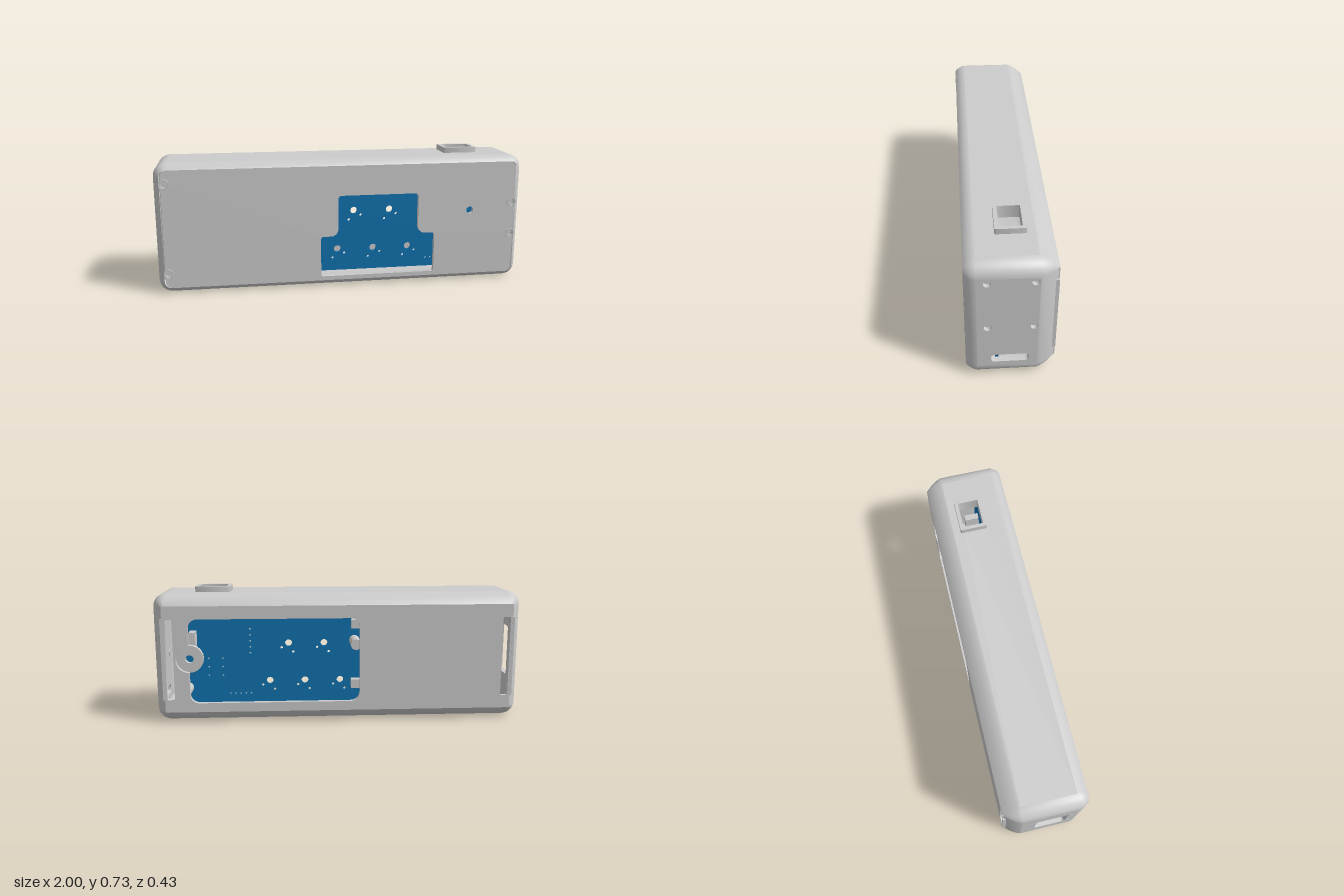
import * as THREE from 'three';
import { toCreasedNormals } from 'three/addons/utils/BufferGeometryUtils.js';

const grey = new THREE.MeshStandardMaterial({ color: 0xcccccc });
const greyShell = new THREE.MeshStandardMaterial({ color: 0xcccccc, side: THREE.DoubleSide });
const blue = new THREE.MeshStandardMaterial({ color: 0x0f72b0 });
const WALL = 0.03, CY = 0.35, BAND = [-0.125, 0.16];

// Rounded rectangle from corner to corner
function rect(x0, y0, x1, y1, r, Type = THREE.Path) {
  const p = new Type();
  const q = Math.PI / 2;
  p.moveTo(x0 + r, y0);
  p.lineTo(x1 - r, y0).absarc(x1 - r, y0 + r, r, -q, 0, false);
  p.lineTo(x1, y1 - r).absarc(x1 - r, y1 - r, r, 0, q, false);
  p.lineTo(x0 + r, y1).absarc(x0 + r, y1 - r, r, q, 2 * q, false);
  p.lineTo(x0, y0 + r).absarc(x0 + r, y0 + r, r, 2 * q, 3 * q, false);
  return p;
}

const circle = (x, y, r) => new THREE.Path().absarc(x, y, r, 0, Math.PI * 2, false);

function plate(name, shape, holes, depth, material = grey) {
  shape.holes.push(...holes);
  const geo = new THREE.ExtrudeGeometry(shape, { depth, bevelEnabled: false, curveSegments: 10 });
  const m = new THREE.Mesh(toCreasedNormals(geo, 0.6), material);
  m.name = name;
  return m;
}

// Skin of rounded-rectangle sections [z, inset]; the band is left open at the top and both ends
function skin(name, sections, seg = 8) {
  const pos = [], idx = [], n = 4 * (seg + 1);
  for (const [z, inset] of sections) {
    for (let k = 0; k < 4; k++) {
      const cx = k === 0 || k === 3 ? 0.93 : -0.93, cy = CY + (k < 2 ? 0.28 : -0.28);
      for (let j = 0; j <= seg; j++) {
        const a = (k + j / seg) * Math.PI / 2, r = Math.max(0.001, 0.07 - inset);
        pos.push(cx + r * Math.cos(a), cy + r * Math.sin(a), z);
      }
    }
  }
  const open = [seg, 2 * seg + 1, n - 1];
  for (let s = 0; s < sections.length - 1; s++) {
    for (let i = 0; i < n; i++) {
      if (sections[s][0] === BAND[0] && open.includes(i)) continue;
      const a = s * n + i, b = s * n + (i + 1) % n;
      idx.push(a, b, b + n, a, b + n, a + n);
    }
  }
  const geo = new THREE.BufferGeometry();
  geo.setAttribute('position', new THREE.Float32BufferAttribute(pos, 3));
  geo.setIndex(idx);
  const m = new THREE.Mesh(toCreasedNormals(geo, 0.6), greyShell);
  m.name = name;
  return m;
}

export function createModel() {
  const g = new THREE.Group();
  g.name = 'deviceHousing';
  const add = (m, x = 0, y = 0, z = 0) => { m.position.set(x, y, z); g.add(m); return m; };
  const box = (name, w, h, d, x, y, z, mat = grey) => {
    const m = new THREE.Mesh(new THREE.BoxGeometry(w, h, d), mat);
    m.name = name;
    return add(m, x, y, z);
  };
  const rod = (name, r, len, x, y, z, axis) => {
    const m = new THREE.Mesh(new THREE.CylinderGeometry(r, r, len, 24), grey);
    m.name = name;
    m.rotation[axis] = Math.PI / 2;
    return add(m, x, y, z);
  };

  // Outer and inner skins of the hollow case
  add(skin('outerShell', [[-0.215, 0.06], [-0.2, 0.046], [-0.18, 0.029], [-0.16, 0.016], [-0.143, 0.007],
    [BAND[0], 0], [BAND[1], 0], [0.175, 0.003], [0.19, 0.01], [0.203, 0.019], [0.215, 0.032]]));
  add(skin('innerShell', [[-0.19, 0.067], [-0.16, 0.046], [BAND[0], WALL], [BAND[1], WALL], [0.19, 0.04]]));

  // Front face with stepped cutout, indicator hole and screw holes
  const cut = new THREE.Path();
  const q = Math.PI / 2;
  cut.moveTo(-0.115, 0.055);
  cut.lineTo(0.49, 0.055).absarc(0.49, 0.07, 0.015, -q, 0, false);
  cut.lineTo(0.505, 0.265).absarc(0.49, 0.265, 0.015, 0, q, false);
  cut.lineTo(0.45, 0.28).absarc(0.45, 0.32, 0.04, -q, -2 * q, true);
  cut.lineTo(0.41, 0.485).absarc(0.39, 0.485, 0.02, 0, q, false);
  cut.lineTo(-0.015, 0.505).absarc(-0.015, 0.485, 0.02, q, 2 * q, false);
  cut.lineTo(-0.035, 0.32).absarc(-0.075, 0.32, 0.04, 0, -q, true);
  cut.lineTo(-0.115, 0.28).absarc(-0.115, 0.265, 0.015, q, 2 * q, false);
  cut.lineTo(-0.13, 0.07).absarc(-0.115, 0.07, 0.015, 2 * q, 3 * q, false);
  const screws = [[-0.945, 0.595], [-0.945, 0.11], [0.945, 0.44], [0.945, 0.26]];
  add(plate('frontFace', rect(-0.962, 0.032, 0.962, 0.668, 0.038, THREE.Shape),
    [cut, circle(0.705, 0.4, 0.02), ...screws.map(([x, y]) => circle(x, y, 0.022).closePath() && circle(x, y, 0.016))],
    0.025), 0, 0, 0.19);
  for (const [x, y] of screws) {
    rod('frontScrew', 0.022, 0.01, x, y, 0.195, 'x');
    const rim = new THREE.Mesh(new THREE.TorusGeometry(0.024, 0.003, 8, 28), grey);
    rim.name = 'frontScrewRim';
    add(rim, x, y, 0.214);
  }

  // Back face with large opening, side bulge and end slots
  const win = new THREE.Path();
  win.moveTo(-0.06, 0.11);
  win.lineTo(0.76, 0.11).absarc(0.76, 0.16, 0.05, -q, 0, false);
  win.lineTo(0.81, 0.28).absarc(0.81, CY, 0.07, -q, q, false);
  win.lineTo(0.81, 0.52).absarc(0.76, 0.52, 0.05, 0, q, false);
  win.lineTo(-0.06, 0.57).absarc(-0.06, 0.52, 0.05, q, 2 * q, false);
  win.lineTo(-0.11, 0.16).absarc(-0.06, 0.16, 0.05, 2 * q, 3 * q, false);
  add(plate('backFace', rect(-0.945, 0.06, 0.945, 0.64, 0.01, THREE.Shape),
    [win, rect(0.892, 0.13, 0.932, 0.57, 0.008), rect(-0.932, 0.13, -0.892, 0.57, 0.008)], 0.025), 0, 0, -0.215);
  for (const s of [-1, 1]) box('slotRim', 0.012, 0.44, 0.02, s * 0.949, 0.35, -0.206);
  add(plate('coverScrewBoss', new THREE.Shape().absarc(0.81, CY, 0.075, 0, Math.PI * 2, false),
    [circle(0.81, CY, 0.022)], 0.03), 0, 0, -0.19);

  // End walls; local x runs along -z on the right end and +z on the left
  const sideHoles = [];
  for (const z of [0.11, -0.105]) {
    for (const y of [0.605, 0.33]) {
      sideHoles.push(circle(-z, y, 0.018));
      rod('sideScrew', 0.022, 0.012, 0.972, y, z, 'z');
    }
  }
  const right = add(plate('cableEndWall', rect(-BAND[1], 0.07, -BAND[0], 0.63, 0.0005, THREE.Shape),
    [...sideHoles, rect(-0.095, 0.097, 0.085, 0.145, 0.018)], WALL), 1 - WALL);
  right.rotation.y = q;
  const left = add(plate('windowEndWall', rect(BAND[0], 0.07, BAND[1], 0.63, 0.0005, THREE.Shape),
    [rect(-0.05, 0.21, 0.118, 0.49, 0.015), circle(0.142, 0.45, 0.012), circle(0.142, 0.24, 0.012)], WALL), -1 + WALL);
  left.rotation.y = -q;

  // Top wall and the raised rectangular collar
  const top = add(plate('topWall', rect(-0.93, -BAND[1], 0.93, -BAND[0], 0.0005, THREE.Shape),
    [rect(0.61, -0.045, 0.76, 0.065, 0.004)], WALL), 0, 0.7 - WALL);
  top.rotation.x = -q;
  const collar = add(plate('topCollar', rect(0.59, -0.065, 0.78, 0.085, 0.008, THREE.Shape),
    [rect(0.61, -0.045, 0.76, 0.065, 0.004)], 0.07), 0, 0.66);
  collar.rotation.x = -q;

  // Circuit board with button holes and pin holes
  const holes = [];
  for (const [x, y] of [[0.075, 0.387], [0.28, 0.387], [-0.018, 0.166], [0.187, 0.166], [0.39, 0.166]]) {
    holes.push(circle(x, y, 0.02), circle(x - 0.027, y - 0.053, 0.008), circle(x + 0.04, y - 0.027, 0.008));
  }
  for (let i = 0; i < 5; i++) {
    holes.push(circle(0.5 + i * 0.03, 0.09, 0.006), circle(0.5, 0.33 + i * 0.035, 0.006));
  }
  for (let i = 0; i < 3; i++) holes.push(circle(0.66, 0.2 + i * 0.05, 0.006), circle(0.74, 0.2 + i * 0.05, 0.006));
  add(plate('circuitBoard', rect(-0.17, 0.04, 0.94, 0.55, 0.005, THREE.Shape), holes, 0.016, blue), 0, 0, 0.055);

  // Parts standing on the back of the board
  rod('standoff', 0.03, 0.15, -0.1, 0.4, -0.02, 'x');
  rod('standoff', 0.03, 0.15, 0.86, 0.13, -0.02, 'x');
  box('pinHeader', 0.035, 0.13, 0.08, 0.82, 0.4, 0.015);
  for (const y of [0.15, 0.5]) box('boardClip', 0.08, 0.05, 0.05, -0.12, y, 0.03);
  return g;
}
